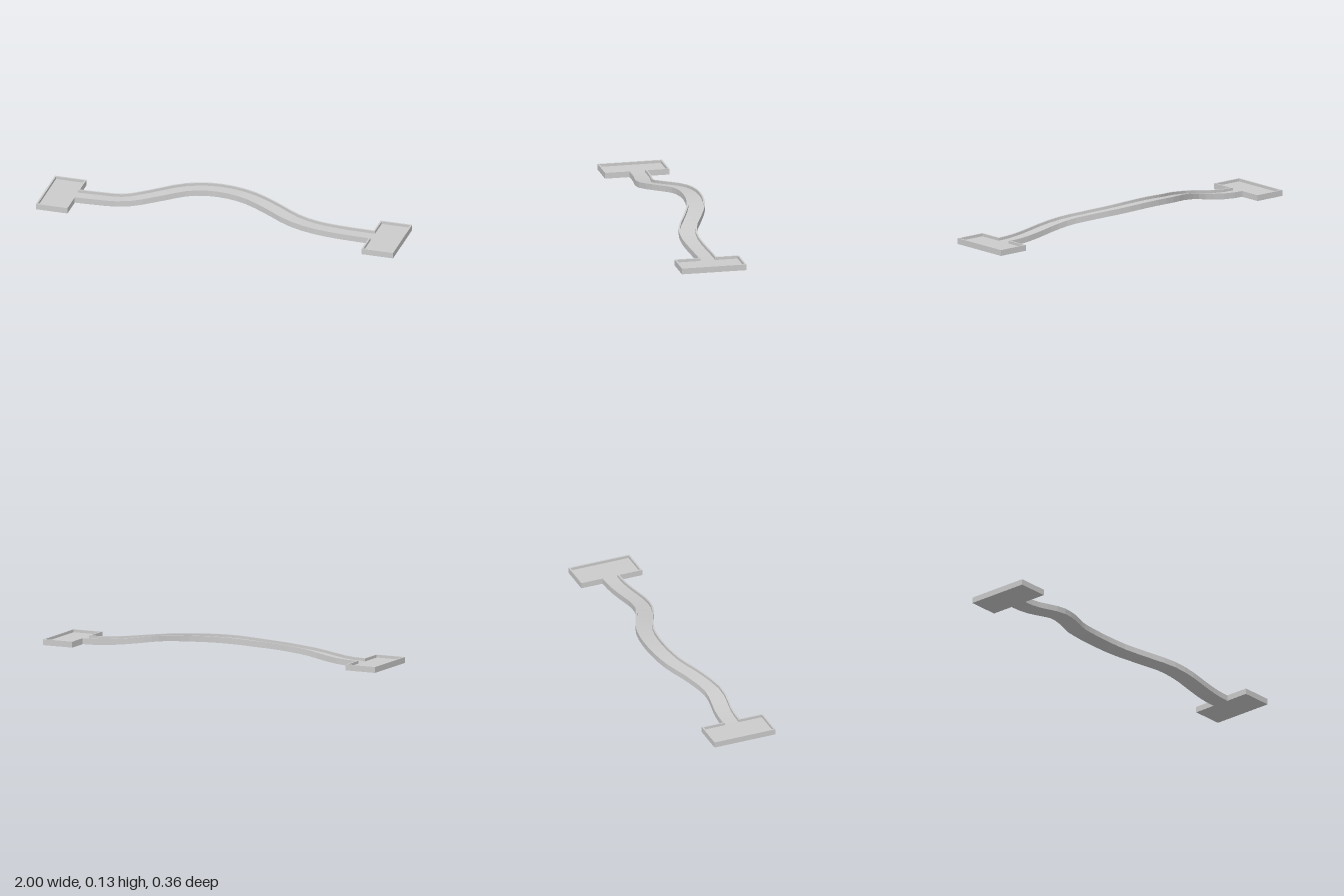
import * as THREE from 'three';

const HEIGHT = 0.032, FLOOR = 0.017, WALL = 0.009, HALF = 0.049, TRAY_X = 0.823;
const material = new THREE.MeshStandardMaterial({ color: 0xcccccc, flatShading: true, side: THREE.DoubleSide });

// Underside height of the channel: a gentle hump between the two trays
function baseHeight(x) {
  const peakX = -0.08, peakY = 0.095;
  const endX = x < peakX ? -TRAY_X : TRAY_X;
  const endY = x < peakX ? 0.008 : 0;
  const t = (x - peakX) / (endX - peakX);
  return endY + (peakY - endY) * (0.5 + 0.5 * Math.cos(Math.PI * t));
}

// Winding U-shaped channel, swept as a loop of cross-sections
function makeChannel() {
  const curve = new THREE.CatmullRomCurve3([
    [-TRAY_X, -0.004], [-0.73, -0.002], [-0.54, 0.018], [-0.4, -0.026], [-0.24, -0.098],
    [-0.08, -0.123], [0.1, -0.108], [0.25, -0.054], [0.38, 0.002], [0.49, 0.018],
    [0.65, 0.006], [0.74, -0.003], [TRAY_X, -0.005],
  ].map(([x, z]) => new THREE.Vector3(x, 0, z)));
  const inner = HALF - WALL;
  const section = [
    [-HALF, 0], [HALF, 0], [HALF, HEIGHT], [inner, HEIGHT],
    [inner, FLOOR], [-inner, FLOOR], [-inner, HEIGHT], [-HALF, HEIGHT],
  ];
  const steps = 28, n = section.length, positions = [], indices = [];
  for (let i = 0; i <= steps; i++) {
    const p = curve.getPointAt(i / steps);
    const t = curve.getTangentAt(i / steps);
    if (i === 0 || i === steps) t.set(1, 0, 0);
    const y = baseHeight(p.x);
    for (const [side, up] of section) {
      positions.push(p.x - t.z * side, y + up, p.z + t.x * side);
    }
  }
  for (let i = 0; i < steps; i++) {
    for (let j = 0; j < n; j++) {
      const a = i * n + j, b = i * n + (j + 1) % n;
      indices.push(a, b, a + n, b, b + n, a + n);
    }
  }
  let geometry = new THREE.BufferGeometry();
  geometry.setAttribute('position', new THREE.Float32BufferAttribute(positions, 3));
  geometry.setIndex(indices);
  geometry = geometry.toNonIndexed();
  geometry.computeVertexNormals();
  const mesh = new THREE.Mesh(geometry, material);
  mesh.name = 'channel';
  return mesh;
}

// Rectangular tray with a raised rim, open where the channel joins it
function makeTray(name, side, y, z, channelZ) {
  const shape = new THREE.Shape();
  const x0 = TRAY_X, x1 = 1, h = 0.1775, w = WALL;
  const a = channelZ - z - HALF + WALL, b = channelZ - z + HALF - WALL;
  const outline = [
    [x0, b], [x0, h], [x1, h], [x1, -h], [x0, -h], [x0, a],
    [x0 + w, a], [x0 + w, -h + w], [x1 - w, -h + w], [x1 - w, h - w], [x0 + w, h - w], [x0 + w, b],
  ].map(([x, d]) => new THREE.Vector2(side * x, -d));
  shape.setFromPoints(outline);
  const tray = new THREE.Group();
  tray.name = name;
  tray.position.set(0, y, z);

  const rim = new THREE.Mesh(
    new THREE.ExtrudeGeometry(shape, { depth: HEIGHT - FLOOR, bevelEnabled: false }).rotateX(-Math.PI / 2), material);
  rim.name = 'trayRim';
  rim.position.y = FLOOR;

  const floor = new THREE.Mesh(new THREE.BoxGeometry(x1 - x0, FLOOR, 2 * h), material);
  floor.name = 'trayFloor';
  floor.position.set(side * (x0 + x1) / 2, FLOOR / 2, 0);
  tray.add(rim, floor);
  return tray;
}

export function createModel() {
  const model = new THREE.Group();
  model.name = 'troughWithTrays';
  model.add(
    makeChannel(),
    makeTray('leftTray', 1, 0, -0.0005, -0.005),
    makeTray('rightTray', -1, 0.007, 0.002, -0.004),
  );
  return model;
}
